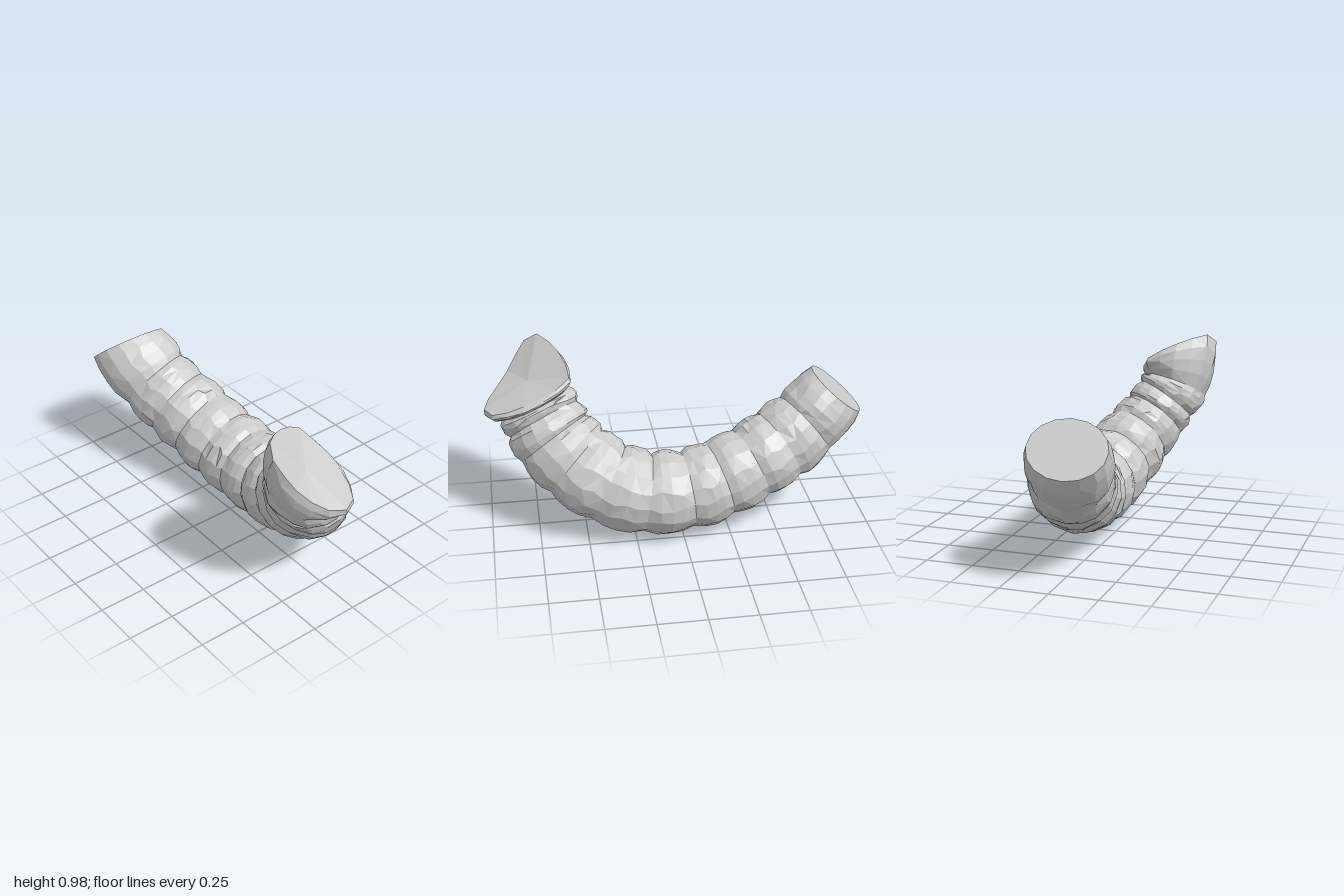
import * as THREE from 'three';

const SIDES = 16, STEPS = 4;
const V = (x, y, z) => new THREE.Vector3(x, y, z);

// small seeded noise, keeps the surface organically uneven
let seed = 7;
const rand = () => (seed = (seed * 16807) % 2147483647) / 2147483647 - 0.5;

// centre x, y, z and the two half widths (across and within the bend)
// at the flat end, then at each crease between two pouches
const stations = [
  [-0.87, 0.66, 0.05, 0.21, 0.175], [-0.69, 0.49, 0.0, 0.2, 0.19], [-0.54, 0.4, -0.05, 0.202, 0.2],
  [-0.38, 0.325, -0.09, 0.205, 0.197], [-0.205, 0.262, -0.125, 0.207, 0.2],
  [-0.03, 0.225, -0.15, 0.209, 0.2], [0.18, 0.224, -0.15, 0.209, 0.205],
  [0.38, 0.285, -0.115, 0.203, 0.21], [0.54, 0.39, -0.05, 0.19, 0.212],
  [0.645, 0.495, 0.02, 0.175, 0.205], [0.695, 0.585, 0.07, 0.172, 0.2],
  [0.735, 0.66, 0.12, 0.178, 0.195],
];
const centers = stations.map(([x, y, z]) => V(x, y, z));
const path = new THREE.CatmullRomCurve3(centers, false, 'centripetal');
const spans = stations.length - 1;
const startNormal = V(0.65, -0.76, 0).normalize();
const collarNormal = V(0.35, 0.9, 0.05).normalize();
const bendAxis = V(0, -0.447, 0.894);

// saddle-shaped rim of the slanted end, starting at the front
const rim = new THREE.CatmullRomCurve3([
  [0.82, 0.85, 0.32], [0.88, 0.76, 0.27], [0.97, 0.68, 0.18], [1.0, 0.655, 0.08],
  [0.95, 0.66, 0.0], [0.8, 0.72, -0.045], [0.66, 0.78, -0.035], [0.56, 0.84, 0.0],
  [0.575, 0.9, 0.1], [0.62, 0.94, 0.2], [0.7, 0.97, 0.31], [0.76, 0.93, 0.345],
].map((p) => V(...p)), true);

const swell = (t) => Math.pow(Math.max(0, Math.sin(Math.PI * t)), 0.65);
const centroid = (pts) => pts.reduce((sum, p) => sum.add(p), V(0, 0, 0)).divideScalar(pts.length);

// direction the section at station position s faces
function normalAt(s) {
  const n = path.getTangent(s / spans);
  if (s < 1) n.lerp(startNormal, 1 - s);
  if (s > spans - 1) n.lerp(collarNormal, 0.6 * (s - spans + 1));
  return n.normalize();
}

// one closed, slightly uneven ring of points
function sectionRing(s) {
  const k = Math.min(Math.floor(s), spans - 1), t = s - k;
  const [ru, rv] = [3, 4].map((i) =>
    THREE.MathUtils.lerp(stations[k][i], stations[k + 1][i], t) * (1 + 0.1 * swell(t)));
  const rough = s === 0 ? 0 : 0.045;
  const center = path.getPoint(s / spans), n = normalAt(s);
  const u = bendAxis.clone().addScaledVector(n, -n.dot(bendAxis)).normalize();
  const v = n.clone().cross(u);
  return Array.from({ length: SIDES }, (_, i) => {
    const a = ((i + rough * 8 * rand()) / SIDES) * Math.PI * 2;
    const r = 1 + rough * rand();
    return center.clone().addScaledVector(u, Math.cos(a) * r * ru).addScaledVector(v, Math.sin(a) * r * rv);
  });
}

function mesh(name, points) {
  const geometry = new THREE.BufferGeometry().setFromPoints(points);
  geometry.computeVertexNormals();
  const material = new THREE.MeshStandardMaterial({
    color: 0xcccccc, flatShading: true, side: THREE.DoubleSide,
  });
  const m = new THREE.Mesh(geometry, material);
  m.name = name;
  return m;
}

// skin between consecutive rings
function skin(rings) {
  const out = [];
  for (let k = 0; k + 1 < rings.length; k++) {
    for (let i = 0; i < SIDES; i++) {
      const j = (i + 1) % SIDES;
      const a = rings[k][i], b = rings[k][j], c = rings[k + 1][j], d = rings[k + 1][i];
      if ((i + k) % 2) out.push(a, b, c, a, c, d);
      else out.push(a, b, d, b, c, d);
    }
  }
  return out;
}

// fan closing an end around a hub point
const fan = (ring, hub) => ring.flatMap((p, i) => [hub, p, ring[(i + 1) % SIDES]]);

export function createModel() {
  seed = 7;
  const group = new THREE.Group();
  group.name = 'segmentedTube';

  // pouches: each swells between two creases and shares its crease with the next
  const start = sectionRing(0);
  let crease = start;
  for (let k = 0; k < spans; k++) {
    const rings = [crease];
    for (let i = 1; i <= STEPS; i++) rings.push(sectionRing(k + i / STEPS));
    crease = rings[STEPS];
    group.add(mesh('pouch' + (k + 1), skin(rings)));
  }

  // flared collar from the last crease to the slanted rim
  const rimRing = rim.getSpacedPoints(SIDES).slice(0, SIDES);
  const collar = [crease];
  for (let i = 1; i <= STEPS; i++) {
    const t = i / STEPS;
    const ring = crease.map((p, n) => p.clone().lerp(rimRing[n], t));
    const middle = centroid(ring);
    ring.forEach((p) => p.sub(middle).multiplyScalar(1 + 0.12 * swell(t)).add(middle));
    collar.push(ring);
  }
  group.add(mesh('leftCollar', skin(collar)));

  // cut ends: the right one flat, the left one slightly dished
  const dished = centroid(rimRing).add(V(-0.01, -0.02, 0.01));
  group.add(mesh('rightCutEnd', fan([...start].reverse(), centers[0])));
  group.add(mesh('leftCutEnd', fan(rimRing, dished)));
  return group;
}
